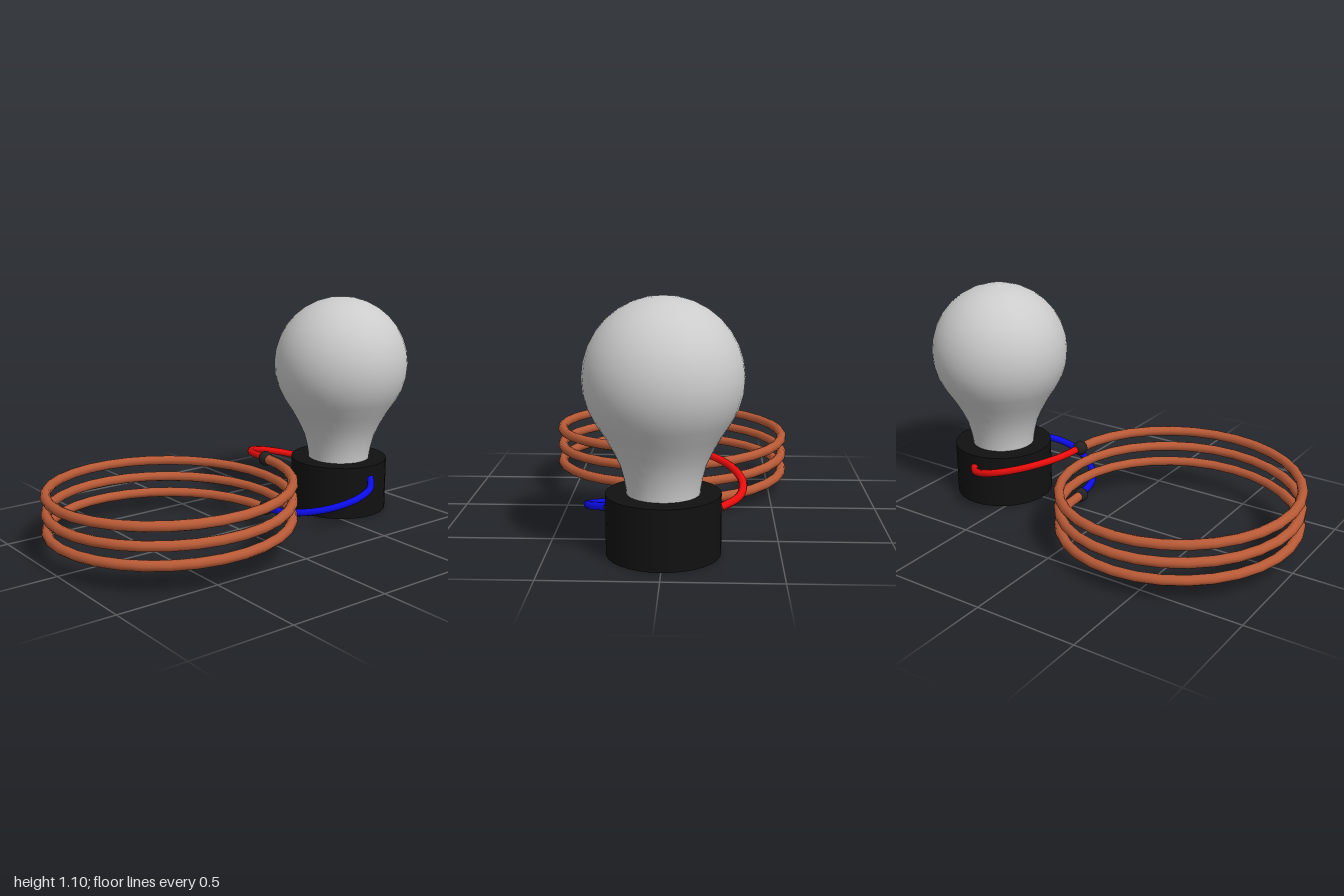
import * as THREE from 'three';

const BASE_X = 0.654;
const COIL = { x: -0.406, radius: 0.57, turns: 3, bottom: 0.077, top: 0.335 };

function material(color) {
  return new THREE.MeshStandardMaterial({ color });
}

function addMesh(parent, name, geometry, mat, x = 0, y = 0, z = 0) {
  const mesh = new THREE.Mesh(geometry, mat);
  mesh.name = name;
  mesh.position.set(x, y, z);
  parent.add(mesh);
  return mesh;
}

// Rising helix, starting at the joint side and turning towards the back
class Helix extends THREE.Curve {
  getPoint(t, target = new THREE.Vector3()) {
    const a = t * COIL.turns * Math.PI * 2;
    return target.set(
      COIL.x + Math.cos(a) * COIL.radius,
      THREE.MathUtils.lerp(COIL.bottom, COIL.top, t),
      -Math.sin(a) * COIL.radius
    );
  }
}

// Round glass top flowing into a slim neck
function bulbGeometry() {
  const neck = [[0.156, 0.24], [0.158, 0.28], [0.167, 0.33], [0.183, 0.39], [0.211, 0.45], [0.247, 0.515]];
  const points = neck.map(([r, y]) => new THREE.Vector2(r, y));
  const steps = 11;
  for (let i = 0; i <= steps; i++) {
    const a = THREE.MathUtils.lerp(-Math.PI * 0.18, Math.PI / 2, i / steps);
    points.push(new THREE.Vector2(Math.max(0, Math.cos(a) * 0.341), 0.76 + Math.sin(a) * 0.341));
  }
  return new THREE.LatheGeometry(points, 40);
}

// Bowed wire from a coil joint to the side of the base
function wireGeometry(startY, side) {
  const plan = [[0.165, 0], [0.198, 0.15], [0.285, 0.265], [0.38, 0.323], [0.48, 0.343], [0.575, 0.318], [0.654, 0.24]];
  const endX = plan[plan.length - 1][0];
  const points = plan.map(([x, z]) => {
    const t = (x - plan[0][0]) / (endX - plan[0][0]);
    return new THREE.Vector3(x, THREE.MathUtils.lerp(startY, 0.2, t), z * side);
  });
  return new THREE.TubeGeometry(new THREE.CatmullRomCurve3(points), 32, 0.018, 8);
}

export function createModel() {
  const model = new THREE.Group();
  model.name = 'bulbAndCoil';

  // Lamp
  const lamp = new THREE.Group();
  lamp.name = 'lamp';
  lamp.position.x = BASE_X;
  model.add(lamp);
  addMesh(lamp, 'base', new THREE.CylinderGeometry(0.247, 0.247, 0.266, 32), material(0x111111), 0, 0.133);
  addMesh(lamp, 'bulb', bulbGeometry(), material(0xcccccc));

  // Copper coil
  addMesh(model, 'coil', new THREE.TubeGeometry(new Helix(), 96, 0.024, 10), material(0xb85a36));

  // Wires and the joints where they meet the coil
  const jointMaterial = material(0x222222);
  const ends = [
    { name: 'upper', y: COIL.top, side: -1, color: 0xee0c0c },
    { name: 'lower', y: COIL.bottom, side: 1, color: 0x0c0cee },
  ];
  for (const { name, y, side, color } of ends) {
    addMesh(model, name + 'Wire', wireGeometry(y, side), material(color));
    addMesh(model, name + 'Joint', new THREE.SphereGeometry(0.036, 12, 8), jointMaterial, COIL.x + COIL.radius, y, 0);
  }

  return model;
}
